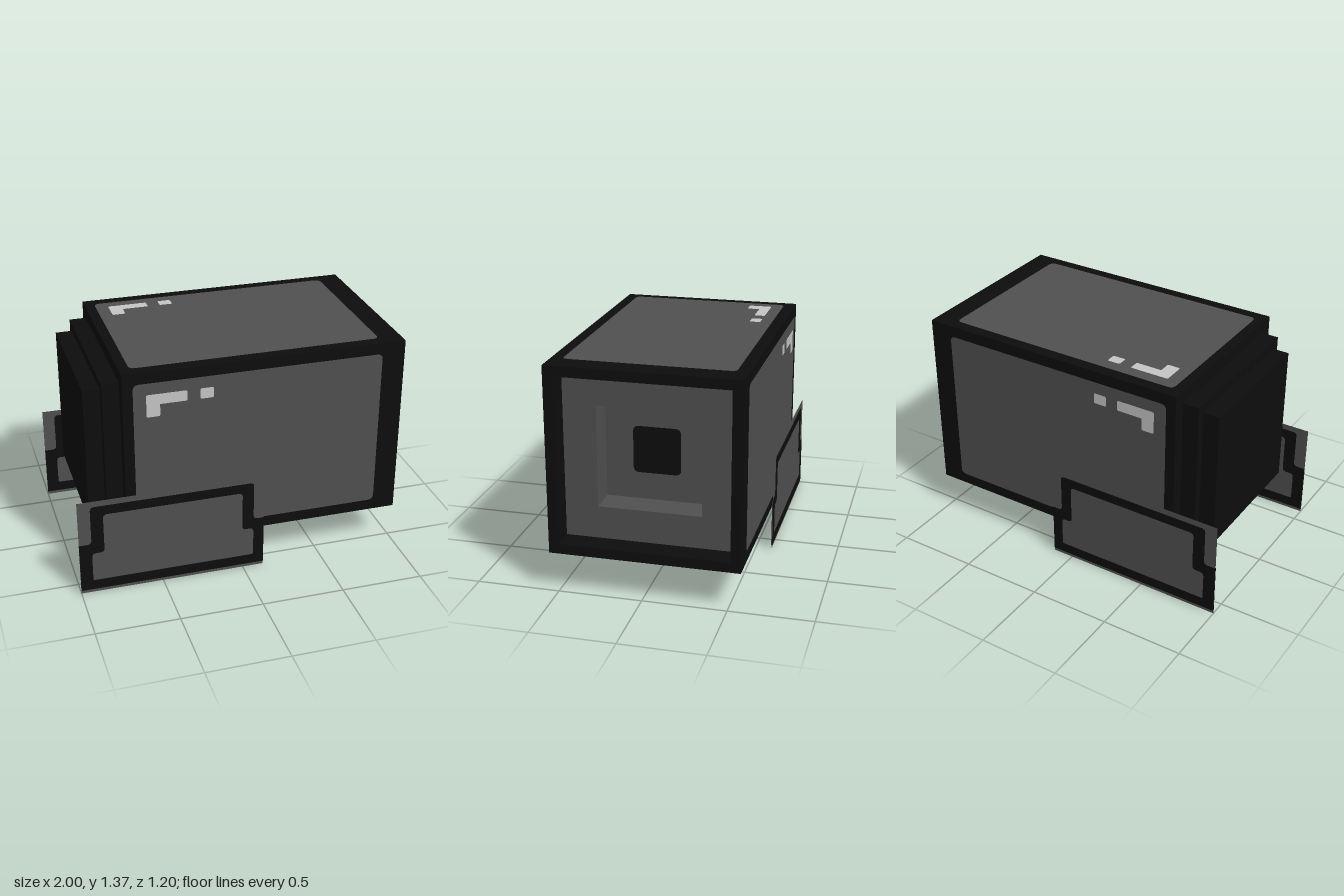
import * as THREE from 'three';

const mat = (name, color) => new THREE.MeshStandardMaterial({ name, color, side: THREE.DoubleSide });

// polygon with slightly rounded corners; each point is [x, y, radius]
function roundedPoly(pts, mirror = 1) {
  const v = pts.map(([x, y]) => new THREE.Vector2(x * mirror, y));
  const shape = new THREE.Shape();
  const n = v.length;
  for (let i = 0; i < n; i++) {
    const p = v[i], r = pts[i][2] ?? 0;
    const a = v[(i + n - 1) % n].clone().sub(p).setLength(r).add(p);
    const b = v[(i + 1) % n].clone().sub(p).setLength(r).add(p);
    if (i === 0) shape.moveTo(a.x, a.y); else shape.lineTo(a.x, a.y);
    if (r > 0) shape.quadraticCurveTo(p.x, p.y, b.x, b.y);
  }
  shape.closePath();
  return shape;
}
const rect = (x0, x1, y0, y1, r = 0) => [[x0, y0, r], [x1, y0, r], [x1, y1, r], [x0, y1, r]];
const square = (h, r = 0) => roundedPoly(rect(-h, h, -h, h, r));

export function createModel() {
  const black = mat('black', 0x0d0d0d);
  const grey = mat('grey', 0x505050);
  const light = mat('lightGrey', 0xc6c6c6);
  const model = new THREE.Group();

  const add = (parent, name, geo, material, x = 0, y = 0, z = 0) => {
    const m = new THREE.Mesh(geo, material);
    m.name = name;
    m.position.set(x, y, z);
    parent.add(m);
    return m;
  };
  const flat = (shape) => new THREE.ShapeGeometry(shape, 4);

  // main body
  const H = 0.5635;
  const body = new THREE.Group();
  body.name = 'body';
  body.position.set(0, 0.805, -0.0125);
  model.add(body);

  const block = (name, x0, x1, h) =>
    add(body, name, new THREE.BoxGeometry(x1 - x0, 2 * h, 2 * h), black, (x0 + x1) / 2);
  block('core', -0.7, 0.68, H);
  block('rearStepLarge', -0.8, -0.7, 0.485);
  block('rearStepSmall', -0.9, -0.8, 0.431);

  // square rings around the front opening
  const ring = (name, x0, x1, outer, inner, material) => {
    const s = square(outer);
    s.holes.push(square(inner));
    const g = new THREE.ExtrudeGeometry(s, { depth: x1 - x0, bevelEnabled: false });
    add(body, name, g.rotateY(Math.PI / 2), material, x0);
  };
  ring('openingFrame', 0.68, 1, H, 0.5025, black);
  ring('recessRing', 0.68, 0.86, 0.5025, 0.306, grey);
  add(body, 'recessBack', flat(square(0.306)).rotateY(Math.PI / 2), grey, 0.682);
  add(body, 'recessHole', flat(square(0.142, 0.035)).rotateY(Math.PI / 2), black, 0.686);

  // inset panel and glints on the four long faces
  const panelPts = rect(-0.64, 0.86, -0.495, 0.495, 0.035);
  const glintPts = [[-0.565, 0.425, 0.01], [-0.565, 0.285, 0.01], [-0.485, 0.285, 0.01],
    [-0.485, 0.36], [-0.325, 0.36, 0.01], [-0.325, 0.425, 0.01]];
  const dotPts = rect(-0.25, -0.17, 0.36, 0.425, 0.01);
  const faces = [['front', 0, 0, 1], ['back', 0, Math.PI, -1],
    ['top', -Math.PI / 2, 0, 1], ['bottom', Math.PI / 2, 0, 1]];
  for (const [name, rx, ry, mirror] of faces) {
    const face = new THREE.Group();
    face.name = name + 'Face';
    face.rotation.set(rx, ry, 0);
    body.add(face);
    add(face, name + 'Panel', flat(roundedPoly(panelPts, mirror)), grey, 0, 0, H + 0.002);
    add(face, name + 'Glint', flat(roundedPoly(glintPts, mirror)), light, 0, 0, H + 0.005);
    add(face, name + 'GlintDot', flat(roundedPoly(dotPts, mirror)), light, 0, 0, H + 0.005);
  }

  // thin side plates with a dark stepped outline, seen from both sides
  const r = 0.025;
  const outline = roundedPoly([[-1, 0.02], [0.13, 0.02], [0.13, 0.335], [0.065, 0.335, r],
    [0.065, 0.585, r], [-0.925, 0.585, r], [-0.925, 0.335, r], [-1, 0.335]]);
  outline.holes.push(roundedPoly([[-0.925, 0.083, 0.01], [0.065, 0.083, 0.01], [0.065, 0.27, r],
    [-0.005, 0.27, r], [-0.005, 0.525, r], [-0.85, 0.525, r], [-0.85, 0.27, r], [-0.925, 0.27, r]]));
  for (const s of [1, -1]) {
    const plate = new THREE.Group();
    plate.name = s > 0 ? 'frontPlate' : 'backPlate';
    plate.position.z = s * 0.597;
    model.add(plate);
    add(plate, 'plateSheet', flat(roundedPoly(rect(-1, 0.13, 0, 0.62))), grey);
    for (const o of [0.003, -0.003]) add(plate, 'plateOutline', flat(outline), black, 0, 0, o);
  }
  return model;
}
